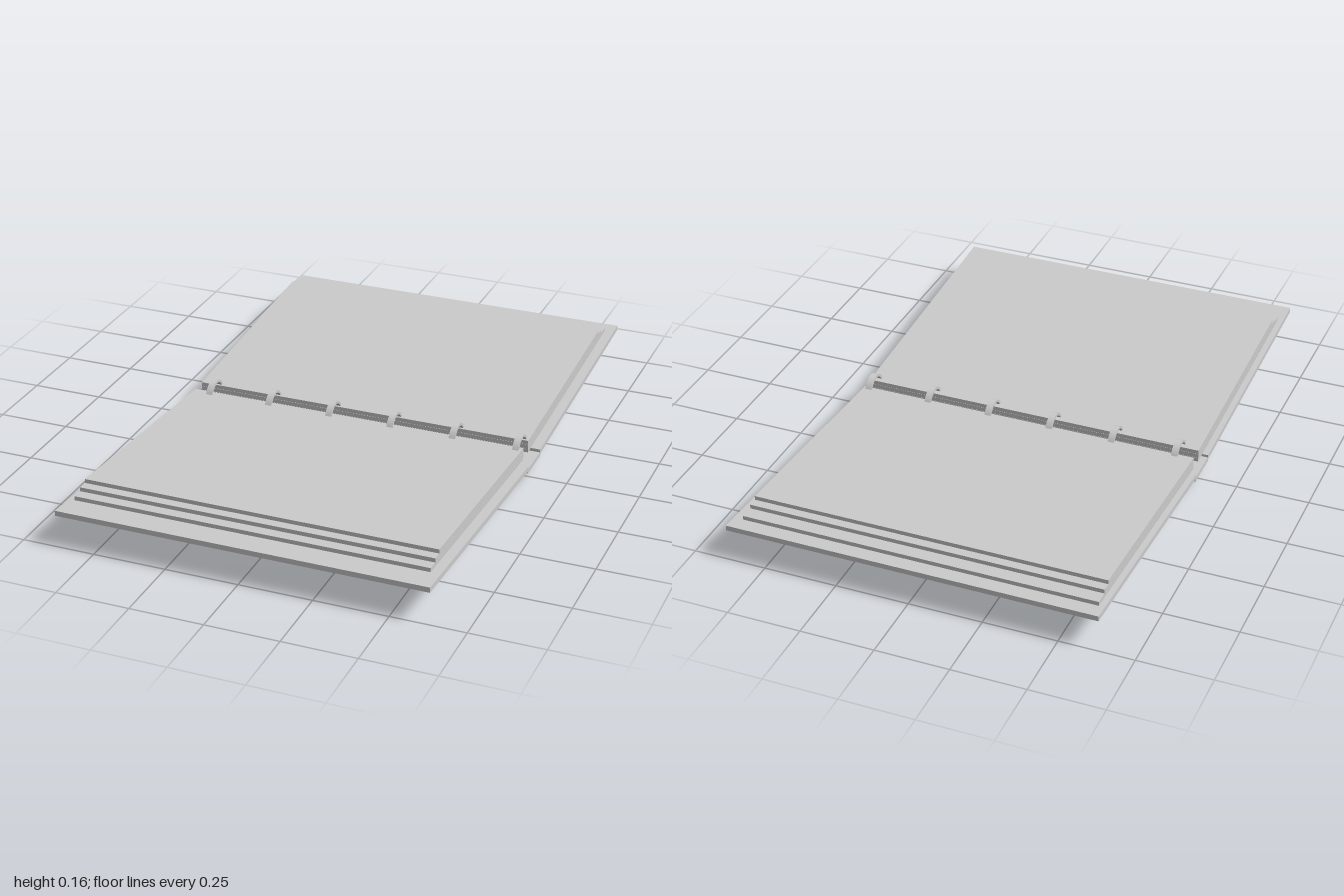
import * as THREE from 'three';

const grey = new THREE.MeshStandardMaterial({ color: 0xcccccc });
const SLOPE = 0.068; // rise of each half away from the spine

// Extrude a (z, y) profile along x, from x0 to x1
function extrudeX(shape, x0, x1, curveSegments = 32) {
  const g = new THREE.ExtrudeGeometry(shape, { depth: x1 - x0, bevelEnabled: false, curveSegments });
  return g.rotateY(-Math.PI / 2).translate(x1, 0, 0);
}

// Sloping board: underside height 'low' is measured at z = 0
function board(zIn, zOut, low, thickness, x0, x1) {
  const y = z => low + SLOPE * Math.abs(z);
  const shape = new THREE.Shape([
    new THREE.Vector2(zIn, y(zIn)), new THREE.Vector2(zOut, y(zOut)),
    new THREE.Vector2(zOut, y(zOut) + thickness), new THREE.Vector2(zIn, y(zIn) + thickness),
  ]);
  return extrudeX(shape, x0, x1);
}

export function createModel() {
  const model = new THREE.Group();
  model.name = 'openRingBinder';
  const add = (name, geometry, parent = model) => {
    const mesh = new THREE.Mesh(geometry, grey);
    mesh.name = name;
    parent.add(mesh);
    return mesh;
  };

  // Spine and the two covers
  const spine = new THREE.BoxGeometry(1.26, 0.016, 0.136);
  add('spine', spine.translate(0, 0.049, -0.013));
  add('frontCover', board(0.05, 1, 0.0445, 0.018, -0.63, 0.63));
  add('backCover', board(-0.076, -1, 0.0445, 0.018, -0.63, 0.63));

  // Stepped page stacks, the lowest page reaching furthest out
  const layer = 0.0147;
  const stacks = [
    ['frontPage', 0.005, [0.905, 0.865, 0.83]],
    ['backPage', -0.045, [-0.945, -0.895, -0.862]],
  ];
  for (const [name, zIn, ends] of stacks) {
    ends.forEach((zOut, i) => {
      add(name + (i + 1), board(zIn, zOut, 0.0625 + i * layer, layer - 0.0006, -0.61, 0.597));
    });
  }

  // Six flat-banded binder rings
  const outline = new THREE.Shape().absellipse(-0.015, 0.071, 0.056, 0.071, 0, Math.PI * 2);
  outline.holes.push(new THREE.Path().absellipse(-0.015, 0.071, 0.048, 0.062, 0, Math.PI * 2, true));
  for (let i = 0; i < 6; i++) {
    const x = -0.546 + i * 0.2245;
    add('ring' + (i + 1), extrudeX(outline, x - 0.011, x + 0.011));
  }

  // Two oblong feet under the front cover
  const r = 0.04, half = 0.044;
  const oblong = new THREE.Shape();
  oblong.absarc(0, half, r, 0, Math.PI);
  oblong.absarc(0, -half, r, Math.PI, Math.PI * 2);
  const foot = new THREE.ExtrudeGeometry(oblong, {
    depth: 0.004, bevelThickness: 0.003, bevelSize: 0.004, bevelSegments: 2, curveSegments: 16,
  });
  foot.rotateX(Math.PI / 2);
  for (const x of [-0.29, 0.217]) {
    const mesh = add(x < 0 ? 'rightFoot' : 'leftFoot', foot);
    mesh.position.set(x, 0.0445 + SLOPE * 0.263 + 0.002, 0.263);
    mesh.rotation.x = -Math.atan(SLOPE);
  }
  return model;
}
